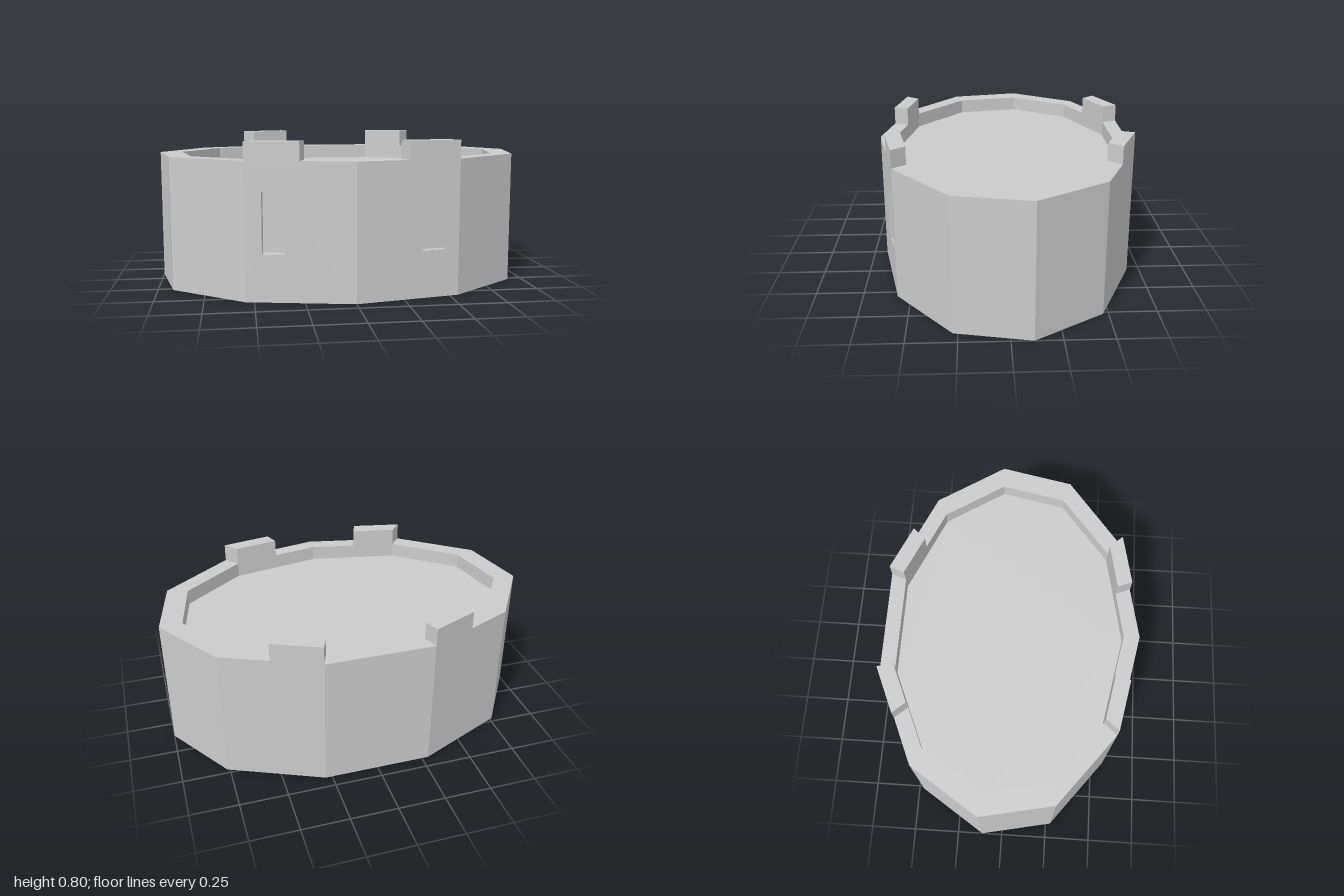
import * as THREE from 'three';

const material = new THREE.MeshStandardMaterial({ color: 0xcccccc, flatShading: true });
const WALL_TOP = 0.705, FLOOR = 0.625, MERLON_TOP = 0.8, RECESS = 0.04;

// Mirror a half plan (x, z), front to back, into a full loop
function mirrorLoop(half) {
  const left = half.slice(1).reverse().map(([x, z]) => [-x, z]);
  return [...half, ...left];
}

const outer = mirrorLoop([[0, 0.68], [0.545, 0.57], [0.92, 0.275], [1, -0.112], [0.765, -0.473], [0.285, -0.683]]);
const inner = mirrorLoop([[0, 0.595], [0.485, 0.5], [0.81, 0.24], [0.88, -0.105], [0.675, -0.42], [0.255, -0.603]]);

function planShape(points, sign = -1) {
  return new THREE.Shape(points.map(([x, z]) => new THREE.Vector2(x, sign * z)));
}

function rectPoints(u0, v0, u1, v1) {
  return [[u0, v0], [u1, v0], [u1, v1], [u0, v1]].map(p => new THREE.Vector2(...p));
}

function addMesh(parent, name, geometry, y = 0) {
  const mesh = new THREE.Mesh(geometry, material);
  mesh.name = name;
  mesh.position.y = y;
  parent.add(mesh);
  return mesh;
}

// Open-fronted niche whose faces look inward
function nicheGeometry(w, h, d) {
  const box = new THREE.BoxGeometry(w, h, d);
  const index = Array.from(box.index.array);
  index.splice(24, 6);
  box.setIndex(index.reverse());
  box.clearGroups();
  const niche = box.toNonIndexed();
  niche.computeVertexNormals();
  return niche;
}

// Upright wall from a to b, seen left to right, with an optional window niche
function addWall(parent, name, a, b, y0, y1, win) {
  const dx = b[0] - a[0], dz = b[1] - a[1], len = Math.hypot(dx, dz);
  const group = new THREE.Group();
  group.name = name;
  group.position.set(a[0], 0, a[1]);
  group.rotation.y = Math.atan2(-dz, dx);
  parent.add(group);
  const shape = new THREE.Shape(rectPoints(0, y0, len, y1));
  if (win) {
    const [u0, u1] = [win.x0, win.x1].map(x => (x - a[0]) / dx * len);
    shape.holes.push(new THREE.Path(rectPoints(u0, win.y0, u1, win.y1)));
    const niche = addMesh(group, 'windowNiche', nicheGeometry(u1 - u0, win.y1 - win.y0, RECESS));
    niche.position.set((u0 + u1) / 2, (win.y0 + win.y1) / 2, -RECESS / 2);
  }
  addMesh(group, name + 'Face', new THREE.ShapeGeometry(shape));
}

export function createModel() {
  const model = new THREE.Group();
  model.name = 'tower';
  const n = outer.length;

  // Outer and inner walls; the two front walls carry windows
  const windows = {
    0: { x0: 0.348, x1: 0.476, y0: 0.245, y1: 0.555 },
    [n - 1]: { x0: -0.46, x1: -0.348, y0: 0.245, y1: 0.555 },
  };
  for (let i = 0; i < n; i++) {
    const j = (i + 1) % n;
    addWall(model, 'outerWall', outer[i], outer[j], 0, WALL_TOP, windows[i]);
    addWall(model, 'parapetInside', inner[j], inner[i], FLOOR, WALL_TOP);
  }

  // Rim, roof floor and base
  const rim = planShape(outer);
  rim.holes.push(planShape(inner));
  addMesh(model, 'rim', new THREE.ShapeGeometry(rim).rotateX(-Math.PI / 2), WALL_TOP);
  addMesh(model, 'roofFloor', new THREE.ShapeGeometry(planShape(inner)).rotateX(-Math.PI / 2), FLOOR);
  addMesh(model, 'base', new THREE.ShapeGeometry(planShape(outer, 1)).rotateX(Math.PI / 2));

  // Four merlons on the rim
  const merlons = {
    frontMerlon: [[0.545, 0.57], [0.275, 0.6245], [0.245, 0.547], [0.485, 0.5]],
    backMerlon: [[0.285, -0.683], [0.525, -0.578], [0.465, -0.5105], [0.255, -0.603]],
  };
  for (const [name, plan] of Object.entries(merlons)) {
    for (const side of [1, -1]) {
      const shape = planShape(plan.map(([x, z]) => [side * x, z]));
      const geometry = new THREE.ExtrudeGeometry(shape, { depth: MERLON_TOP - WALL_TOP, bevelEnabled: false });
      addMesh(model, name, geometry.rotateX(-Math.PI / 2), WALL_TOP);
    }
  }
  return model;
}
